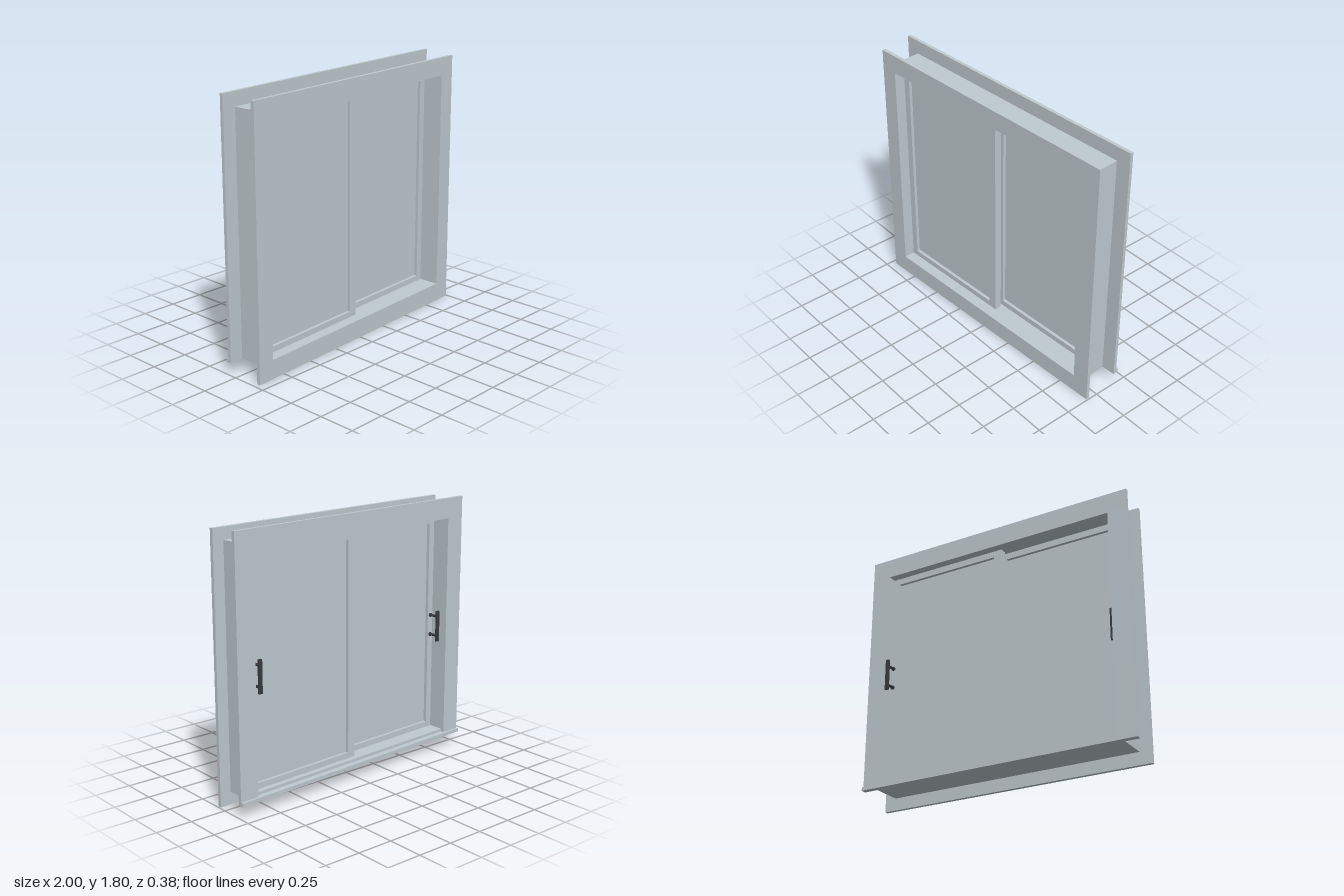
import * as THREE from 'three';

export function createModel() {
  const model = new THREE.Group();
  model.name = 'slidingWindow';
  const paint = new THREE.MeshStandardMaterial({ color: 0xbfcacf });
  paint.name = 'pale blue grey';
  const metal = new THREE.MeshStandardMaterial({ color: 0x3a3b3e });
  metal.name = 'dark metal';

  const add = (name, geometry, material = paint, parent = model) => {
    const mesh = new THREE.Mesh(geometry, material);
    mesh.name = name;
    parent.add(mesh);
    return mesh;
  };
  const box = (name, x0, x1, y0, y1, z0, z1, material, parent) =>
    add(name, new THREE.BoxGeometry(x1 - x0, y1 - y0, z1 - z0), material, parent)
      .position.set((x0 + x1) / 2, (y0 + y1) / 2, (z0 + z1) / 2);
  const rect = (Type, x0, x1, y0, y1) => new Type([
    new THREE.Vector2(x0, y0), new THREE.Vector2(x1, y0),
    new THREE.Vector2(x1, y1), new THREE.Vector2(x0, y1)]);

  // Rectangular ring: outer and inner are [x0, x1, y0, y1]
  const ring = (name, outer, inner, z0, z1, parent) => {
    const shape = rect(THREE.Shape, ...outer);
    shape.holes.push(rect(THREE.Path, ...inner));
    const geometry = new THREE.ExtrudeGeometry(shape, { depth: z1 - z0, bevelEnabled: false });
    add(name, geometry.translate(0, 0, z0), paint, parent);
  };

  // Box frame and the two casings around one shared opening
  const opening = [-0.86, 0.86, 0.13, 1.665];
  ring('boxFrame', [-0.9, 0.9, 0.085, 1.71], opening, -0.097, 0.112);
  ring('frontCasing', [-0.98, 0.98, 0, 1.79], opening, 0.112, 0.137);
  box('backCasingHead', -0.999, 0.999, 1.665, 1.805, -0.12, -0.097);
  for (const s of [-1, 1]) {
    const [a, b] = s < 0 ? [-0.999, -0.86] : [0.86, 0.999];
    box('backCasingSide', a, b, 0.11, 1.665, -0.12, -0.097);
  }
  box('backSill', -0.999, 0.999, 0.085, 0.11, -0.137, -0.097);

  // Sliding sashes: side -1 runs in the front track, side 1 in the back track
  for (const side of [-1, 1]) {
    const sash = new THREE.Group();
    sash.name = side < 0 ? 'frontSash' : 'backSash';
    model.add(sash);
    const z = -side * 0.035;
    const span = (near, far) => side < 0 ? [-far, -near] : [near, far];
    ring('sashFrame', [...span(-0.03, 0.86), 0.13, 1.665],
      [...span(0.03, 0.813), 0.17, 1.62], z - 0.025, z + 0.025, sash);
    box('pane', ...span(0.03, 0.813), 0.17, 1.62, z - 0.003, z + 0.003, paint, sash);

    // Pull handle on the back of the outer stile
    const handle = new THREE.Group();
    handle.name = 'handle';
    handle.position.set(side * 0.836, 0.893, z - 0.025);
    sash.add(handle);
    box('handleBar', -0.013, 0.013, -0.11, 0.11, -0.078, -0.064, metal, handle);
    for (const y of [-0.07, 0.07]) {
      const post = add('handlePost', new THREE.CylinderGeometry(0.009, 0.009, 0.066, 16), metal, handle);
      post.rotation.x = Math.PI / 2;
      post.position.set(0, y, -0.033);
      const foot = add('handleFoot', new THREE.CylinderGeometry(0.014, 0.014, 0.008, 16), metal, handle);
      foot.rotation.x = Math.PI / 2;
      foot.position.set(0, y, -0.004);
    }
  }

  // The whole window stands slightly turned
  model.rotation.y = 0.0545;
  model.position.x = 0.005;
  const root = new THREE.Group();
  root.name = 'window';
  root.add(model);
  return root;
}
